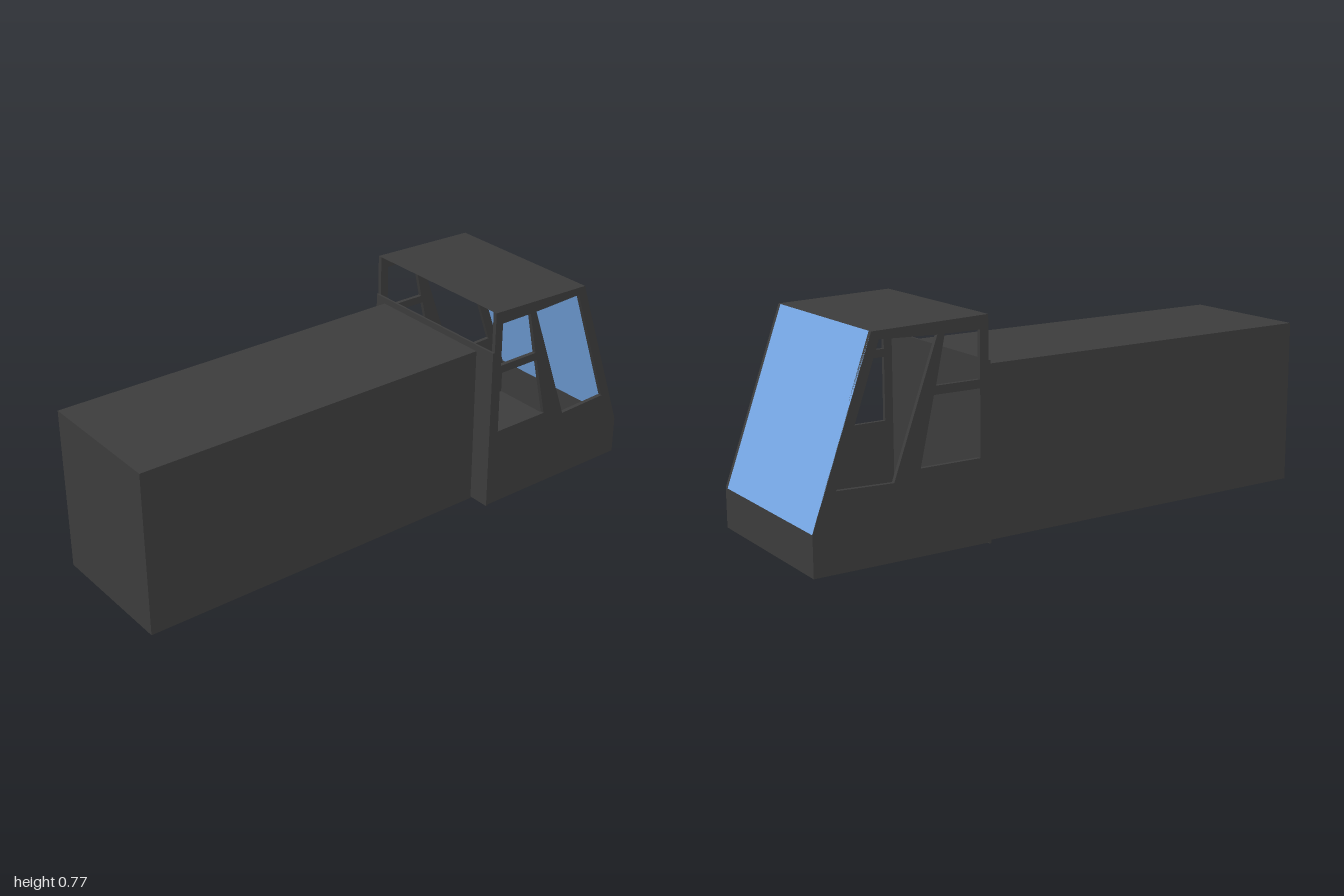
import * as THREE from 'three';

const dark = new THREE.MeshStandardMaterial({ color: 0x3c3c3c, flatShading: true, side: THREE.DoubleSide });
const glass = new THREE.MeshStandardMaterial({ color: 0x78aae8, flatShading: true, side: THREE.DoubleSide });

const HALF = 0.318; // half width of the cab
const WALL = 0.015; // thickness of the side walls

// Cab side profile and its window openings, as [x, y]
const outline = [[0.361, 0.01], [1, 0.01], [1, 0.15], [0.783, 0.754], [0.361, 0.767]];
const openings = [
  [[0.393, 0.559], [0.557, 0.559], [0.523, 0.72], [0.393, 0.72]],
  [[0.393, 0.3], [0.617, 0.3], [0.565, 0.53], [0.393, 0.53]],
  [[0.713, 0.268], [0.916, 0.275], [0.757, 0.727], [0.55, 0.72]],
];

const toPoints = (list) => list.map(([x, y]) => new THREE.Vector2(x, y));

function addMesh(parent, name, geometry, material = dark) {
  const mesh = new THREE.Mesh(geometry, material);
  mesh.name = name;
  parent.add(mesh);
  return mesh;
}

function addBox(parent, name, [x0, x1], [y0, y1], [z0, z1]) {
  const box = addMesh(parent, name, new THREE.BoxGeometry(x1 - x0, y1 - y0, z1 - z0));
  box.position.set((x0 + x1) / 2, (y0 + y1) / 2, (z0 + z1) / 2);
}

// Flat sheet spanning the cab width between two profile points
function addSheet(parent, name, [xa, ya], [xb, yb], material) {
  const geometry = new THREE.PlaneGeometry(Math.hypot(xb - xa, yb - ya), HALF * 2);
  geometry.rotateX(-Math.PI / 2);
  const sheet = addMesh(parent, name, geometry, material);
  sheet.position.set((xa + xb) / 2, (ya + yb) / 2, 0);
  sheet.rotation.z = Math.atan2(yb - ya, xb - xa);
}

export function createModel() {
  const model = new THREE.Group();
  model.name = 'truck';

  // Closed cargo box
  addBox(model, 'cargoBox', [-1, 0.353], [0, 0.595], [-0.272, 0.234]);

  const cab = new THREE.Group();
  cab.name = 'cab';
  model.add(cab);

  // Side walls with window openings
  const shape = new THREE.Shape(toPoints(outline));
  openings.forEach((o) => shape.holes.push(new THREE.Path(toPoints(o))));
  for (const [name, z] of [['frontSideWall', HALF - WALL], ['backSideWall', -HALF]]) {
    const wall = new THREE.ExtrudeGeometry(shape, { depth: WALL, bevelEnabled: false });
    addMesh(cab, name, wall).position.z = z;
  }

  // Floor, nose, windscreen and roof follow the side profile
  addSheet(cab, 'floor', outline[0], outline[1], dark);
  addSheet(cab, 'nose', outline[1], outline[2], dark);
  addSheet(cab, 'windscreen', outline[3], outline[2], glass);
  addSheet(cab, 'roof', outline[4], outline[3], dark);

  // Low rear panel, open above
  addBox(cab, 'rearPanel', [0.353, 0.361], [0.006, 0.618], [-HALF, HALF]);

  return model;
}
